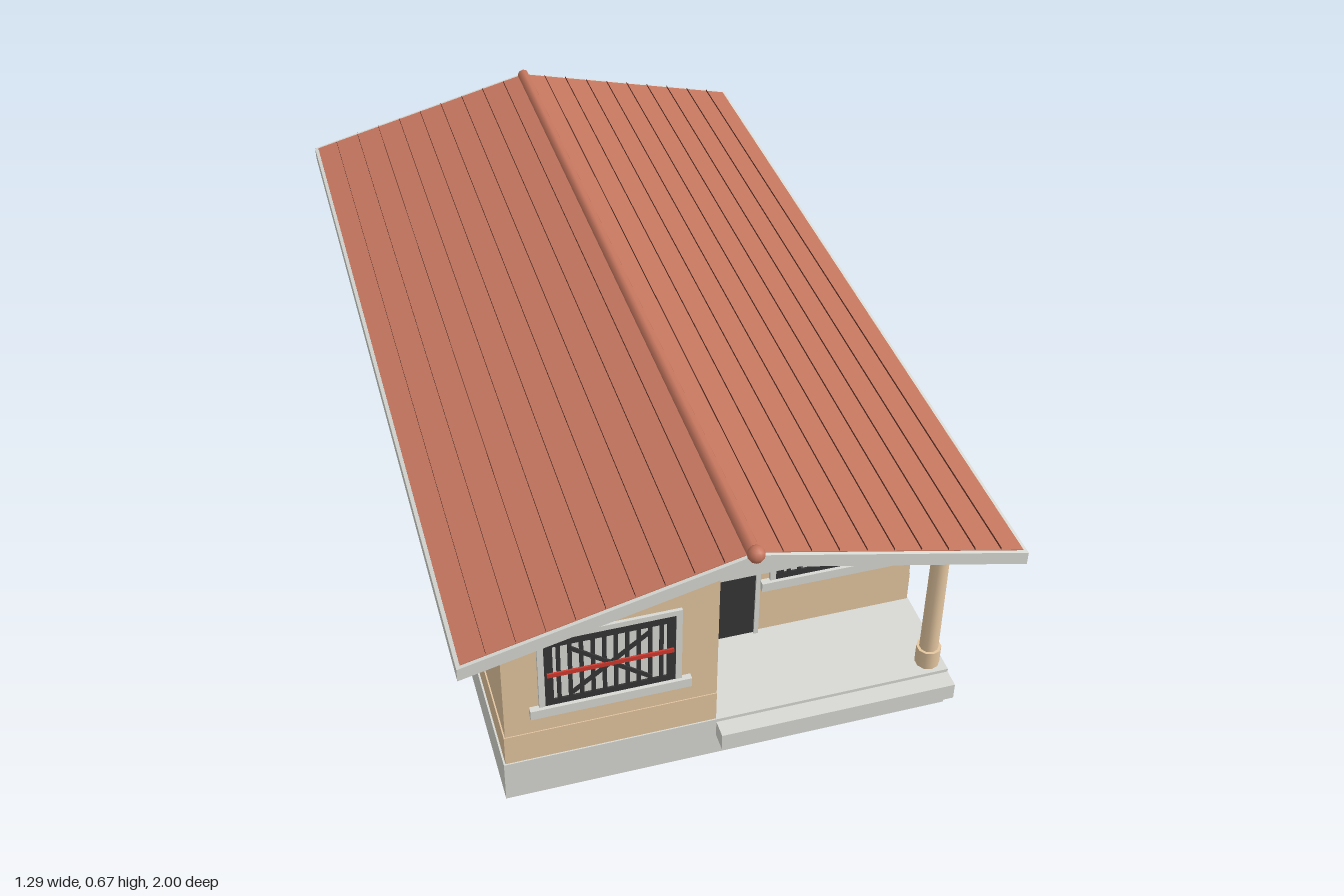
import * as THREE from 'three';

const mat = (name, color) => {
  const m = new THREE.MeshStandardMaterial({ color });
  m.name = name;
  return m;
};

export function createModel() {
  const model = new THREE.Group();
  model.name = 'house';
  const wall = mat('tan plaster', 0xe5c7a1);
  const concrete = mat('grey concrete', 0xd9dad4);
  const tile = mat('red roof tile', 0xc5765e);
  const seam = mat('dark roof seam', 0x6b3a2f);
  const timber = mat('dark grey rafter', 0x737371);
  const dark = mat('charcoal metal', 0x353535);
  const red = mat('red bar', 0xd03a2e);
  seam.side = THREE.DoubleSide;

  const add = (parent, name, geo, m, x = 0, y = 0, z = 0) => {
    const mesh = new THREE.Mesh(geo, m);
    mesh.name = name;
    mesh.position.set(x, y, z);
    parent.add(mesh);
    return mesh;
  };
  // box given by its minimum and maximum on each axis
  const span = (name, m, x0, x1, y0, y1, z0, z1) =>
    add(model, name, new THREE.BoxGeometry(x1 - x0, y1 - y0, z1 - z0), m,
      (x0 + x1) / 2, (y0 + y1) / 2, (z0 + z1) / 2);
  // outline in x and y, extruded from z0 to z1
  const prism = (name, m, pts, z0, z1) => {
    const shape = new THREE.Shape(pts.map(p => new THREE.Vector2(...p)));
    return add(model, name, new THREE.ExtrudeGeometry(shape, { depth: z1 - z0, bevelEnabled: false }), m, 0, 0, z0);
  };

  const RIDGE = -0.065, SLOPE = 0.245, HALF = 0.58, TOP = 0.645;
  const roofY = x => TOP - SLOPE * Math.abs(x - RIDGE);
  const underY = x => roofY(x) - 0.03;

  // Foundation and steps
  span('foundation', concrete, -0.555, 0.424, 0, 0.103, -0.906, 0.89);
  span('frontStep', concrete, -0.1, 0.424, 0.055, 0.095, 0.885, 0.93);
  span('sideStep', concrete, 0.42, 0.643, 0.025, 0.094, -0.425, -0.172);

  // Walls with gable tops; the front right corner is a recessed porch
  const L = -0.548, R = 0.42, P = -0.1;
  prism('mainWalls', wall, [[L, 0.103], [R, 0.103], [R, underY(R)], [RIDGE, underY(RIDGE)], [L, underY(L)]], -0.9, 0.665);
  prism('frontRoomWalls', wall, [[L, 0.103], [P, 0.103], [P, underY(P)], [L, underY(L)]], 0.665, 0.885);
  span('wallBase', wall, L - 0.003, R + 0.002, 0.103, 0.18, -0.903, 0.664);
  span('frontRoomBase', wall, L - 0.003, P, 0.103, 0.18, 0.664, 0.887);

  // Porch beam, gable and column
  span('porchBeam', concrete, P, 0.424, 0.475, 0.505, 0.84, 0.865);
  prism('porchGable', wall, [[P, 0.505], [0.383, 0.505], [RIDGE, underY(RIDGE)], [P, underY(P)]], 0.845, 0.862);
  add(model, 'porchColumn', new THREE.CylinderGeometry(0.019, 0.021, 0.4, 10), wall, 0.39, 0.3, 0.854);
  add(model, 'columnBase', new THREE.CylinderGeometry(0.027, 0.027, 0.046, 10), wall, 0.39, 0.126, 0.854);

  // Roof slab and thin tile covering, both as bent sheets
  const chevron = (half, lift, thick) => {
    const a = RIDGE - half, b = RIDGE + half;
    return [[a, roofY(a) + lift - thick], [RIDGE, TOP + lift - thick], [b, roofY(b) + lift - thick],
      [b, roofY(b) + lift], [RIDGE, TOP + lift], [a, roofY(a) + lift]];
  };
  prism('roofSlab', concrete, chevron(HALF, 0, 0.03), -1, 0.98);
  prism('roofTiles', tile, chevron(HALF - 0.008, 0.0015, 0.003), -0.992, 0.972);

  // Upright seams along the tile courses, rafters below the slab
  const angle = Math.atan(SLOPE);
  for (const s of [-1, 1]) {
    for (let i = 1; i < 10; i++) {
      const x = RIDGE + s * 0.058 * i;
      const strip = add(model, 'tileSeam', new THREE.PlaneGeometry(1.964, 0.006), seam, x, roofY(x) + 0.004, -0.01);
      strip.rotation.y = Math.PI / 2;
    }
    const mid = RIDGE + s * 0.311;
    for (let i = 0; i < 16; i++) {
      const rafter = add(model, 'rafter', new THREE.BoxGeometry(0.525, 0.014, 0.012), timber,
        mid, underY(mid) - 0.004, -0.95 + i * 0.1255);
      rafter.rotation.z = -s * angle;
    }
  }

  // Ridge cap with a round front end
  const cap = add(model, 'ridgeCap', new THREE.CylinderGeometry(0.015, 0.015, 1.975, 8), tile, RIDGE, 0.643, -0.01);
  cap.rotation.x = Math.PI / 2;
  add(model, 'ridgeBall', new THREE.SphereGeometry(0.018, 10, 8), tile, RIDGE, 0.65, 0.982);

  // Barred window facing +z, centred on its own origin
  const makeWindow = (name, w, h, bars, barShare, x, y, z, turn, ornate = false) => {
    const g = new THREE.Group();
    g.name = name;
    g.position.set(x, y, z);
    g.rotation.y = turn;
    model.add(g);
    const t = Math.min(0.013, h * 0.11), f = Math.min(0.018, h * 0.16);
    const frame = (label, m, W, H, b, z0, z1) => {
      for (const s of [-1, 1]) {
        add(g, label, new THREE.BoxGeometry(W, b, z1 - z0), m, 0, s * (H - b) / 2, (z0 + z1) / 2);
        add(g, label, new THREE.BoxGeometry(b, H - 2 * b, z1 - z0), m, s * (W - b) / 2, 0, (z0 + z1) / 2);
      }
    };
    const iw = w - 2 * t, ih = h - 2 * t;
    frame('windowSurround', concrete, w, h, t, -0.005, 0.007);
    frame('windowFrame', dark, iw, ih, f, -0.005, 0.006);
    add(g, 'windowPane', new THREE.BoxGeometry(iw, ih, 0.004), concrete, 0, 0, 0);
    const gw = iw - 2 * f, gh = ih - 2 * f;
    for (let i = 0; i < bars; i++)
      add(g, 'windowBar', new THREE.BoxGeometry(gw / bars * barShare, gh, 0.004), dark,
        gw * ((i + 0.5) / bars - 0.5), 0, 0.004);
    if (ornate) {
      for (const s of [-1, 1]) {
        const d = add(g, 'crossBar', new THREE.BoxGeometry(0.21, 0.009, 0.004), dark, 0, 0, 0.007);
        d.rotation.z = s * 0.66;
      }
      add(g, 'redBar', new THREE.BoxGeometry(iw - 0.01, 0.01, 0.004), red, 0, 0, 0.009);
      add(g, 'windowSill', new THREE.BoxGeometry(w + 0.04, 0.023, 0.02), concrete, 0, -h / 2 + 0.005, 0.004);
    }
  };
  makeWindow('frontLeftWindow', 0.297, 0.21, 10, 0.35, -0.327, 0.343, 0.885, 0, true);
  makeWindow('porchWindow', 0.297, 0.21, 10, 0.35, 0.235, 0.343, 0.667, 0, true);
  makeWindow('backWindow', 0.285, 0.205, 11, 0.6, -0.327, 0.34, -0.9, Math.PI);
  makeWindow('sideWindow', 0.285, 0.205, 11, 0.6, L, 0.34, 0.182, -Math.PI / 2);
  for (const z of [-0.555, -0.785])
    makeWindow('smallWindow', 0.118, 0.085, 4, 0.4, R, 0.393, z, Math.PI / 2);

  // Doors with frames
  span('frontDoor', dark, -0.095, 0.054, 0.105, 0.432, 0.66, 0.672);
  span('frontDoorLintel', concrete, -0.1, 0.064, 0.432, 0.443, 0.66, 0.676);
  span('frontDoorJamb', concrete, 0.054, 0.064, 0.103, 0.432, 0.66, 0.676);
  span('sideDoor', dark, 0.415, 0.4232, 0.103, 0.417, -0.325, -0.18);
  span('sideDoorLintel', concrete, 0.415, 0.4245, 0.417, 0.43, -0.336, -0.169);
  for (const z of [-0.336, -0.18])
    span('sideDoorJamb', concrete, 0.415, 0.4245, 0.103, 0.417, z, z + 0.011);
  add(model, 'doorKnob', new THREE.BoxGeometry(0.006, 0.022, 0.006), concrete, 0.425, 0.255, -0.2);

  // Porch lamp
  span('porchLamp', dark, 0.085, 0.115, 0.44, 0.456, 0.66, 0.678);
  span('lampGlass', concrete, 0.09, 0.11, 0.443, 0.452, 0.678, 0.68);

  // Round-topped post beside the wall
  const post = [[0, 0.092], [0.022, 0.092], [0.022, 0.2], [0.019, 0.213], [0.011, 0.221], [0, 0.224]];
  add(model, 'sidePost', new THREE.LatheGeometry(post.map(p => new THREE.Vector2(...p)), 10), wall, 0.46, 0, 0.145);

  return model;
}
